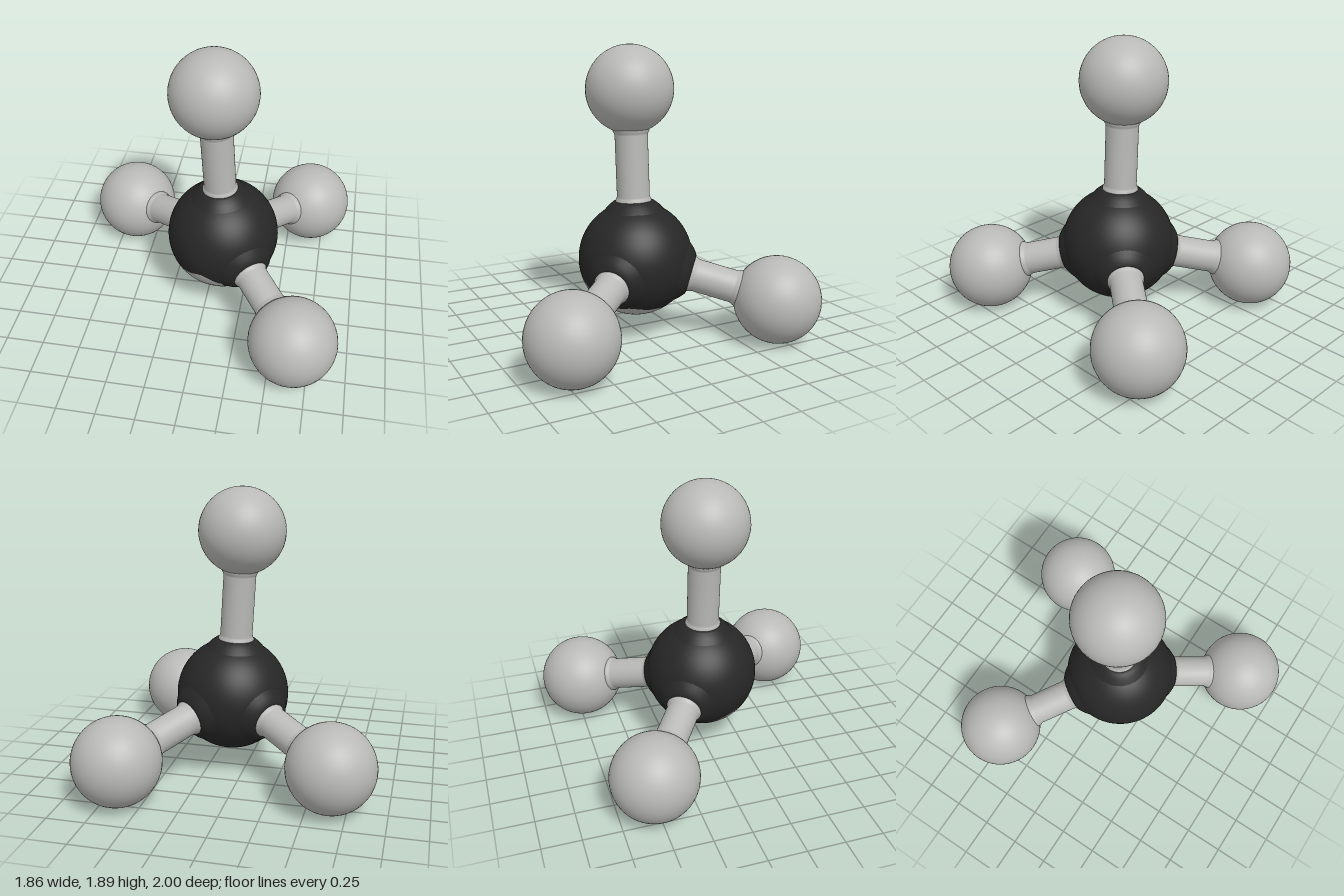
import * as THREE from 'three';

const grey = new THREE.MeshStandardMaterial({ color: 0xb9b9b7 });
grey.name = 'pale grey';
const black = new THREE.MeshStandardMaterial({ color: 0x272727 });
black.name = 'charcoal';

const CORE = new THREE.Vector3(0.095, 0.52, 0.02);
const R = 0.371;
const UP = new THREE.Vector3(0, 1, 0);

// Wavy edge between the two core colours: [azimuth in degrees, height from core centre]
const EDGE = [[0, -0.28], [35, -0.258], [58, -0.235], [80, -0.18], [106, -0.1], [126, -0.14],
  [148, -0.19], [204, -0.33], [270, -0.32], [304, -0.3]];

function edgeHeight(deg) {
  const n = EDGE.length;
  let i = n - 1;
  while (EDGE[i][0] > deg) i--;
  const a = EDGE[i], b = EDGE[(i + 1) % n];
  const span = (b[0] - a[0] + 360) % 360;
  const t = (deg - a[0]) / span;
  return a[1] + (b[1] - a[1]) * t * t * (3 - 2 * t);
}

// Part of the core sphere, from the wavy edge up to the top pole or down to the bottom pole
function corePart(upper, rows) {
  const cols = 72, pos = [], nor = [], index = [];
  for (let j = 0; j <= rows; j++) {
    for (let i = 0; i <= cols; i++) {
      const deg = (i % cols) * 360 / cols;
      const edge = Math.acos(edgeHeight(deg) / R);
      const from = upper ? 0 : edge, to = upper ? edge : Math.PI;
      const polar = from + (to - from) * j / rows;
      const az = deg * Math.PI / 180;
      const p = [Math.sin(polar) * Math.cos(az), Math.cos(polar), Math.sin(polar) * Math.sin(az)];
      nor.push(...p);
      pos.push(...p.map(v => v * R));
      if (i < cols && j < rows) {
        const a = j * (cols + 1) + i, b = a + cols + 1;
        index.push(a, a + 1, b, b, a + 1, b + 1);
      }
    }
  }
  const g = new THREE.BufferGeometry();
  g.setAttribute('position', new THREE.Float32BufferAttribute(pos, 3));
  g.setAttribute('normal', new THREE.Float32BufferAttribute(nor, 3));
  g.setIndex(index);
  return g;
}

function lathe(points) {
  return new THREE.LatheGeometry(points.map(p => new THREE.Vector2(...p)), 40);
}

export function createModel() {
  const model = new THREE.Group();
  const add = (name, geometry, material, position, parent = model) => {
    const mesh = new THREE.Mesh(geometry, material);
    mesh.name = name;
    if (position) mesh.position.copy(position);
    parent.add(mesh);
    return mesh;
  };

  // Central ball with a pale underside
  add('coreBall', corePart(true, 36), black, CORE);
  add('coreUnderside', corePart(false, 14), grey, CORE);

  // Four outer balls, each joined to the core by a rod
  const ends = {
    top: [0.03, 1.613, 0.03],
    frontLeft: [0.647, 0.285, 0.713],
    backLeft: [0.647, 0.285, -0.718],
    backRight: [-0.647, 0.285, -0.515],
  };
  for (const [name, xyz] of Object.entries(ends)) {
    const end = new THREE.Vector3(...xyz);
    add(name + 'Ball', new THREE.SphereGeometry(0.282, 48, 32), grey, end);

    const dir = end.clone().sub(CORE);
    const d = dir.length();
    const arm = new THREE.Group();
    arm.name = name + 'Arm';
    arm.position.copy(CORE);
    arm.quaternion.setFromUnitVectors(UP, dir.normalize());
    model.add(arm);

    // Raised seat on the core
    add(name + 'Seat', lathe([[0.2, 0.31], [0.165, 0.349], [0.135, 0.373], [0.12, 0.378], [0.09, 0.378]]),
      black, null, arm);
    // Rod with a small lip at both ends
    const s = 0.37, e = d - 0.25;
    add(name + 'Rod', lathe([[0.114, s - 0.05], [0.118, s], [0.117, s + 0.014], [0.11, s + 0.026], [0.106, s + 0.04],
      [0.106, e - 0.04], [0.11, e - 0.028], [0.117, e - 0.016], [0.119, e - 0.002], [0.11, e + 0.03]]),
      grey, null, arm);
  }
  return model;
}
